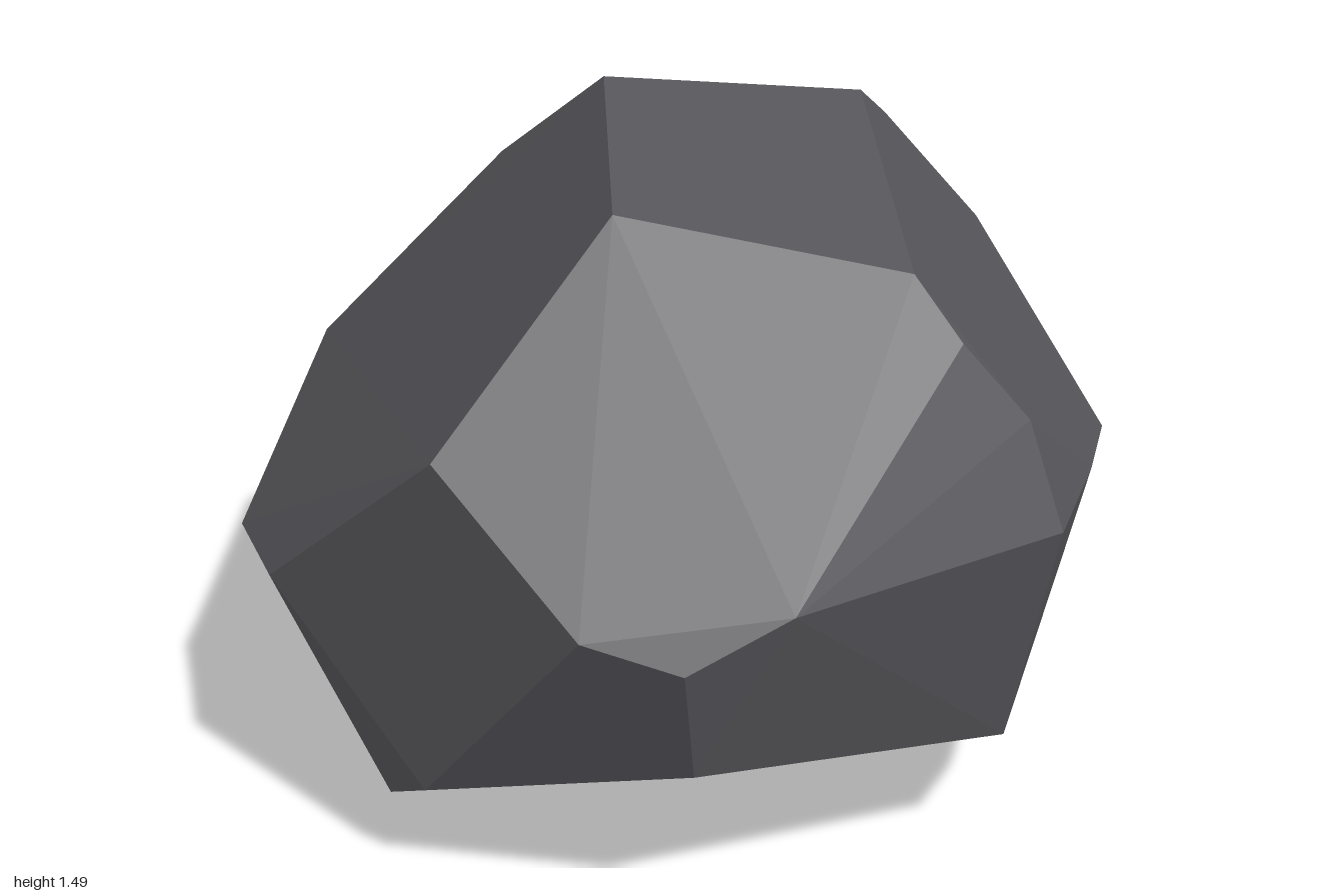
import * as THREE from 'three';
import { ConvexGeometry } from 'three/addons/geometries/ConvexGeometry.js';

// Corners of the boulder, grouped by region
const crown = [
  [-0.31, 1.49, 0], [0.34, 1.47, 0.42], [0.73, 1.375, -0.01], [-0.12, 1.4, -0.565],
];
const frontCorners = [
  [0.34, 1.06, 0.845], [-0.13, 0.65, 0.97], [-0.56, 0.54, 0.82],
  [-1, 0.735, 0.35], [-0.65, 1.23, 0.055],
];
const sideCorners = [
  [0.84, 1.26, -0.045], [0.92, 1.1, -0.155], [0.995, 0.875, -0.19],
  [0.88, 0.82, 0.38], [0.8, 0.72, 0.58], [0.66, 0.775, 0.725],
  [0.72, 0.425, 0.5], [0.85, 0.335, -0.2], [0.84, 0.89, -0.41],
];
const backCorners = [
  [0.48, 0.735, -0.795], [-0.17, 1.31, -0.68], [-0.13, 1.01, -0.94],
  [-0.125, 0.91, -0.975], [0, 0.89, -0.945], [-0.25, 0.62, -0.945], [-0.23, 0.3, -0.87],
];
const lowerCorners = [
  [-0.55, 0.32, -0.62], [-0.8, 0.27, -0.22], [-1, 0.49, 0.2], [-0.9, 0.195, 0.16],
  [-0.83, 0.165, 0.215], [-0.49, 0.22, 0.707], [0.02, 0.145, 0.8],
  [0.12, 0.205, 0.85], [0.23, 0.26, 0.83],
  [0.66, 0.2, -0.36], [0.61, 0.185, -0.41], [0.39, 0.22, -0.68], [0.05, 0.205, -0.76],
];
const foot = [[0, 0, 0.24], [-0.1, 0, 0.18]];

export function createModel() {
  const model = new THREE.Group();
  model.name = 'rock';

  const stone = new THREE.MeshStandardMaterial({ color: 0x57575c });
  stone.name = 'dark grey stone';

  // Faceted boulder: the hull around all corners, with flat face normals
  const corners = [crown, frontCorners, sideCorners, backCorners, lowerCorners, foot]
    .flat()
    .map((p) => new THREE.Vector3(...p));
  const boulder = new THREE.Mesh(new ConvexGeometry(corners), stone);
  boulder.name = 'boulder';
  model.add(boulder);

  return model;
}
